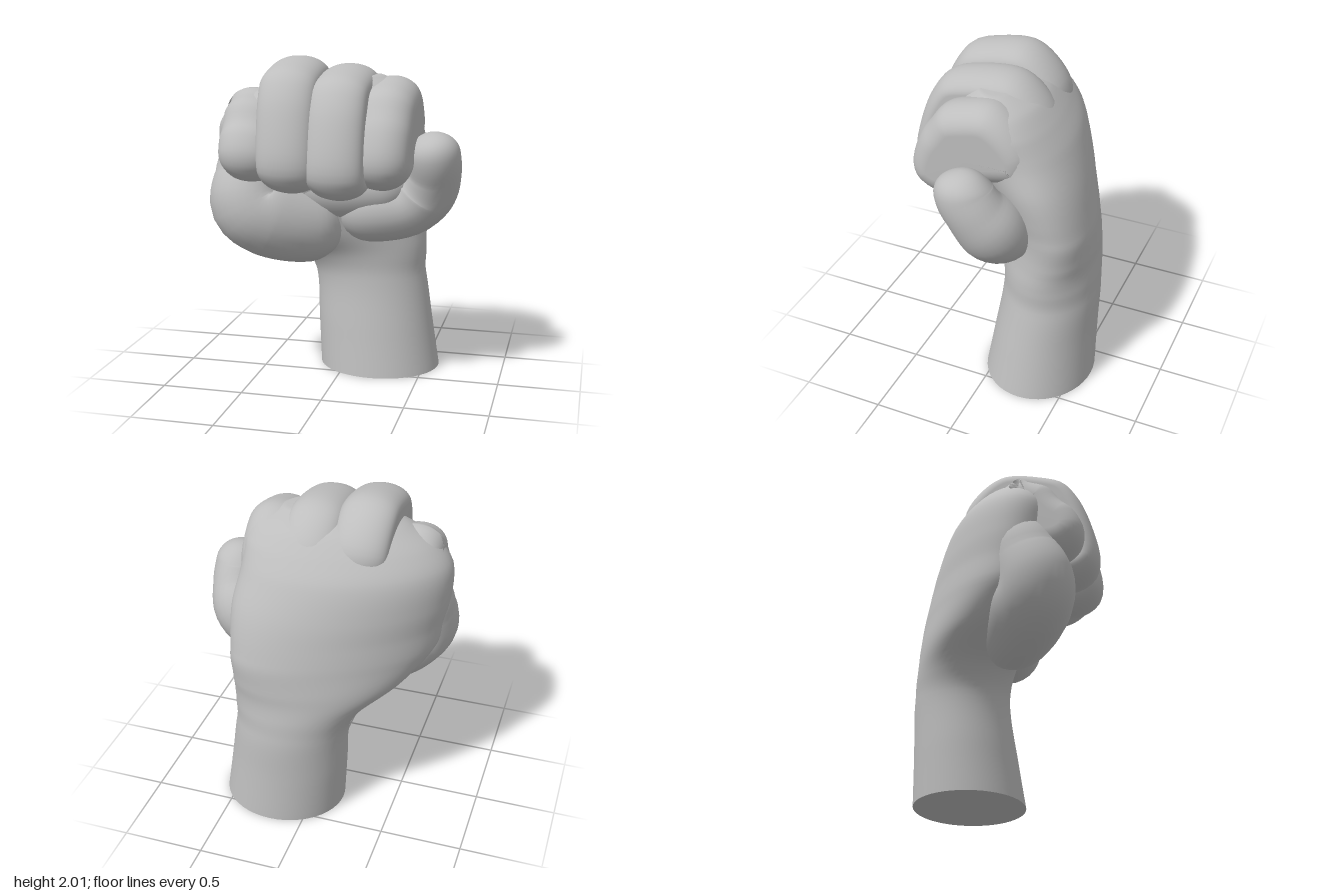
import * as THREE from 'three';

const V = (x, y, z) => new THREE.Vector3(x, y, z);
const curve = (pts, closed = false) => new THREE.CatmullRomCurve3(pts.map((p) => V(...p)), closed);

// Points of an ellipse with half axes u and v
function ellipse(centre, u, v, sides) {
  return Array.from({ length: sides }, (_, j) => {
    const a = (j / sides) * Math.PI * 2;
    return centre.clone().addScaledVector(u, Math.cos(a)).addScaledVector(v, Math.sin(a));
  });
}

// Skin a closed surface over rings of points, counterclockwise about the direction of travel
function loft(rings, flatStart = false) {
  const sides = rings[0].length, last = (rings.length - 1) * sides;
  const points = rings.flat(), index = [];
  for (let a0 = 0; a0 < last; a0 += sides) for (let j = 0; j < sides; j++) {
    const a = a0 + j, b = a0 + ((j + 1) % sides);
    index.push(a, b, b + sides, a, b + sides, a + sides);
  }
  // end caps; a flat start gets its own rim so its edge stays sharp
  const rim = flatStart ? points.length : 0;
  if (flatStart) points.push(...rings[0]);
  const middle = (ring) => ring.reduce((m, p) => m.add(p), V(0, 0, 0)).divideScalar(sides);
  const cap = points.length;
  points.push(middle(rings[0]), middle(rings[rings.length - 1]));
  for (let j = 0; j < sides; j++) {
    const k = (j + 1) % sides;
    index.push(cap, rim + k, rim + j, cap + 1, last + j, last + k);
  }
  const g = new THREE.BufferGeometry().setFromPoints(points);
  g.setIndex(index);
  g.computeVertexNormals();
  return g;
}

// Round-ended limb through [x, y, z, radius] points, thickened along z by deep
function limb(points, endLength, deep = 1) {
  const path = curve(points.map((p) => p.slice(0, 3)));
  const radius = curve(points.map((p, i) => [p[3], i, 0]));
  const rings = [];
  for (let i = 0; i <= 44; i++) {
    const t = (1 - Math.cos((i / 44) * Math.PI)) / 2;
    const k = Math.min(1, Math.min(t, 1 - t) / endLength);
    const r = radius.getPoint(t).x * Math.max(0.02, Math.sqrt(1 - (1 - k) ** 2));
    const T = path.getTangent(t);
    const u = V(0, 0, 1).addScaledVector(T, -T.z).normalize();
    const v = T.clone().cross(u).multiplyScalar(r);
    rings.push(ellipse(path.getPoint(t), u.multiplyScalar(r * deep), v, 28));
  }
  return loft(rings);
}

// Folded finger: its side profile swept across its width, pulled in towards both sides;
// outer (-1, 0 or 1) marks the side that is free and rounder
function foldedFinger(xTop, xBottom, half, top, bottom, front, back, outer) {
  const h = top - bottom;
  const profile = curve([
    [0, bottom, front - 0.22], [0, bottom + 0.03, front - 0.1], [0, bottom + 0.1, front - 0.02],
    [0, bottom + 0.2, front], [0, bottom + 0.6 * h, front - 0.06], [0, top - 0.17, front - 0.12],
    [0, top - 0.07, front - 0.2], [0, top - 0.025, front - 0.32], [0, top, back + 0.26],
    [0, top - 0.1, back + 0.1], [0, top - 0.26, back], [0, top - 0.42, back + 0.03],
    [0, bottom + 0.13, 0.02], [0, bottom + 0.03, front - 0.36],
  ], true);
  const rings = [];
  for (let i = 0; i <= 24; i++) {
    const k = -Math.cos((i / 24) * Math.PI);
    const inset = (k * outer > 0 ? 0.14 : 0.1) * (1 - Math.sqrt(1 - k * k));
    rings.push(Array.from({ length: 56 }, (_, j) => {
      const p = profile.getPointAt(1 - j / 56), T = profile.getTangentAt(1 - j / 56);
      p.y += T.z * inset;
      p.z -= T.y * inset;
      p.x = THREE.MathUtils.lerp(xBottom, xTop, (p.y - bottom) / h) + k * half;
      return p;
    }));
  }
  return loft(rings);
}

export function createModel() {
  const model = new THREE.Group();
  model.name = 'raisedFist';
  const clay = new THREE.MeshStandardMaterial({ color: 0xbebebe });
  clay.name = 'grey clay';
  const add = (name, geometry) => {
    const mesh = new THREE.Mesh(geometry, clay);
    mesh.name = name;
    model.add(mesh);
  };

  // Forearm flowing into the back of the hand: y, centre x, centre z, half width, half depth, twist
  const sections = [
    [0, 0.205, -0.26, 0.385, 0.34, 0],
    [0.3, 0.17, -0.28, 0.37, 0.315, 0],
    [0.6, 0.135, -0.3, 0.355, 0.295, 0.04],
    [0.76, 0.09, -0.285, 0.4, 0.295, 0.16],
    [0.92, -0.02, -0.225, 0.53, 0.31, 0.38],
    [1.1, -0.09, -0.165, 0.63, 0.315, 0.46],
    [1.25, -0.1, -0.125, 0.645, 0.325, 0.44],
    [1.4, -0.11, -0.085, 0.65, 0.335, 0.39],
    [1.6, -0.12, -0.02, 0.62, 0.335, 0.32],
    [1.73, -0.07, 0.02, 0.56, 0.295, 0.26],
    [1.83, 0.0, 0.05, 0.44, 0.24, 0.2],
    [1.9, 0.02, 0.08, 0.25, 0.13, 0.2],
  ];
  const spine = curve(sections.map(([y, x, z]) => [x, y, z]));
  const shape = curve(sections.map((s) => s.slice(3)));
  const body = [];
  for (let i = 0; i <= 70; i++) {
    const { x: a, y: b, z: w } = shape.getPoint(i / 70);
    const u = V(Math.cos(w), 0, -Math.sin(w)).multiplyScalar(a);
    const v = V(-Math.sin(w), 0, -Math.cos(w)).multiplyScalar(b);
    body.push(ellipse(spine.getPoint(i / 70), u, v, 48));
  }
  add('forearmAndHand', loft(body, true));

  // Fingers: top x, bottom x, half width, top y, bottom y, front z, knuckle z, free side
  add('littleFinger', foldedFinger(-0.5, -0.47, 0.165, 1.82, 1.27, 0.52, -0.1, -1));
  add('ringFinger', foldedFinger(-0.235, -0.2, 0.17, 2.0, 1.23, 0.6, -0.24, 0));
  add('middleFinger', foldedFinger(0.065, 0.085, 0.17, 1.955, 1.2, 0.6, -0.29, 0));
  add('indexFinger', foldedFinger(0.335, 0.32, 0.165, 1.89, 1.25, 0.5, -0.27, 1));

  // Palm between the mounds and the fingertips
  add('palm', limb([
    [-0.45, 1.22, 0.08, 0.18], [0, 1.2, 0.02, 0.19], [0.45, 1.25, 0, 0.17],
  ], 0.2));

  // Heel of the palm under the little finger
  add('palmHeel', limb([
    [0.0, 0.95, -0.1, 0.18], [-0.2, 0.975, 0.05, 0.245], [-0.41, 1.05, 0.17, 0.265],
    [-0.515, 1.12, 0.22, 0.24], [-0.53, 1.3, 0.16, 0.21], [-0.55, 1.57, 0.07, 0.165],
  ], 0.18));

  // Thumb with its mound
  add('thumb', limb([
    [-0.06, 1.05, -0.08, 0.18], [0.2, 1.07, -0.05, 0.21], [0.42, 1.11, -0.06, 0.2],
    [0.52, 1.21, -0.05, 0.2], [0.575, 1.32, 0.01, 0.17], [0.585, 1.43, 0.07, 0.16],
    [0.57, 1.57, 0.09, 0.15],
  ], 0.15, 1.08));

  return model;
}
